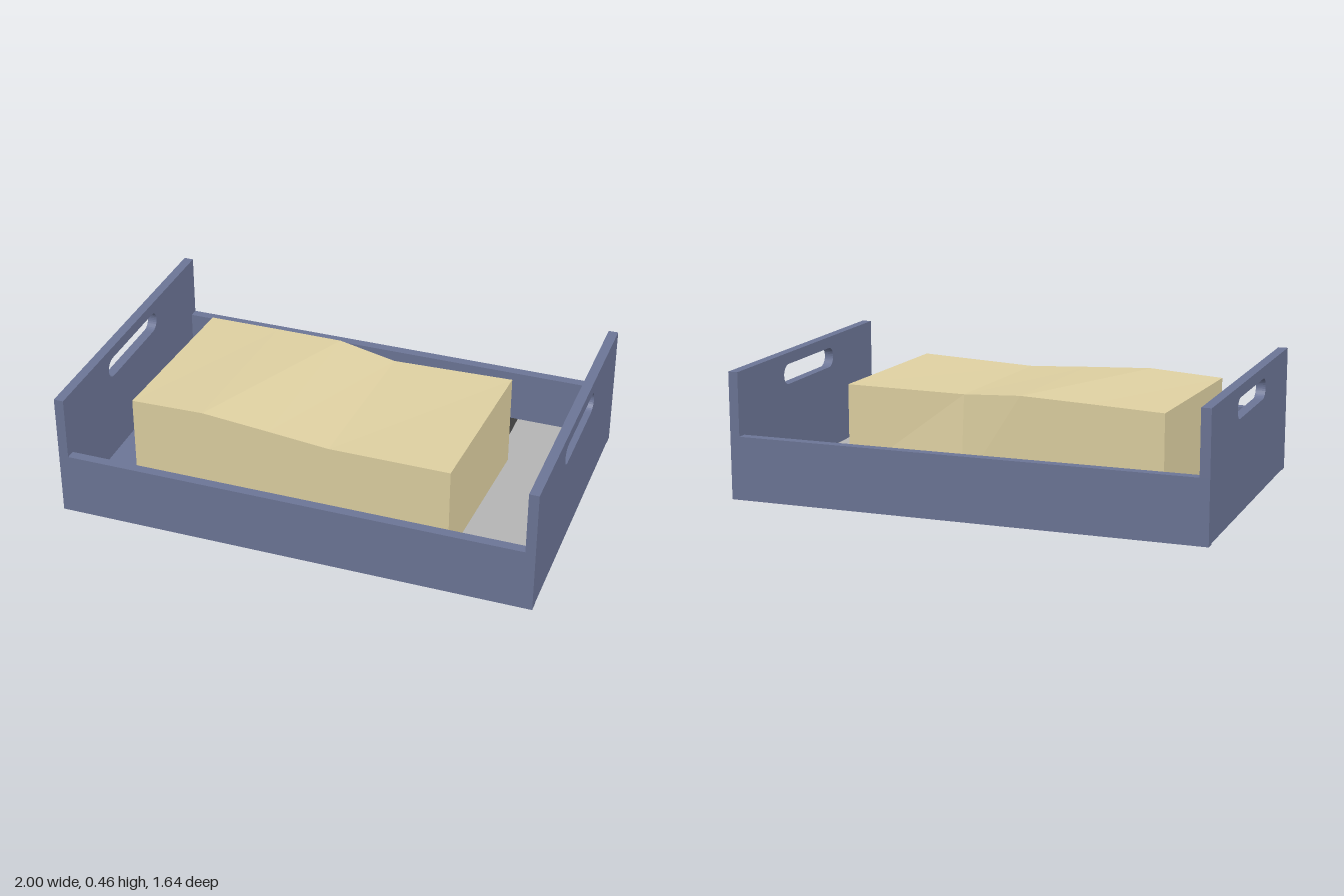
import * as THREE from 'three';

const L = 1.72, W = 1.11, T = 0.035; // tray length, width, board thickness
const RIM = 0.228, TOP = 0.457; // heights of the long sides and of the ends

const material = (color) => new THREE.MeshStandardMaterial({ color, flatShading: true });

function add(parent, name, geometry, mat, x = 0, y = 0, z = 0) {
  const mesh = new THREE.Mesh(geometry, mat);
  mesh.name = name;
  mesh.position.set(x, y, z);
  parent.add(mesh);
  return mesh;
}

// T-shaped end board: narrow between the sides, full width above them, with a grip slot
function endGeometry() {
  const a = W / 2 - T, b = W / 2;
  const shape = new THREE.Shape([
    [-a, 0.004], [a, 0.004], [a, RIM], [b, RIM], [b, TOP], [-b, TOP], [-b, RIM], [-a, RIM],
  ].map(([x, y]) => new THREE.Vector2(x, y)));
  const r = 0.037, half = 0.205 - r, y = 0.378;
  const slot = new THREE.Path();
  slot.absarc(half, y, r, -Math.PI / 2, Math.PI / 2, false);
  slot.absarc(-half, y, r, Math.PI / 2, Math.PI * 1.5, false);
  slot.closePath();
  shape.holes.push(slot);
  return new THREE.ExtrudeGeometry(shape, { depth: T, bevelEnabled: false, curveSegments: 8 })
    .rotateY(Math.PI / 2);
}

// Block with an uneven top: the top edge heights vary along its length
function blockGeometry() {
  const length = 1.19, width = 0.645, bottom = 0.03;
  const stations = [0, 0.23, 0.44, 0.63, 1];
  const front = [0.37, 0.385, 0.371, 0.357, 0.372];
  const back = [0.37, 0.379, 0.386, 0.367, 0.373];
  const geometry = new THREE.BoxGeometry(length, 1, width, 4, 1, 1);
  const p = geometry.attributes.position;
  for (let i = 0; i < p.count; i++) {
    const k = Math.round((p.getX(i) / length + 0.5) * 4);
    const isBack = p.getZ(i) < 0, isTop = p.getY(i) > 0;
    p.setX(i, (stations[k] - 0.5) * length);
    p.setY(i, isTop ? (isBack ? back : front)[k] : bottom);
    // the back top edge leans inward at one station
    if (isTop && isBack && k === 3) p.setZ(i, p.getZ(i) + 0.03);
  }
  geometry.computeVertexNormals();
  return geometry;
}

export function createModel() {
  const model = new THREE.Group();
  model.name = 'tray';
  const blue = material(0x6c7596), dark = material(0x3c3c3c);
  const grey = material(0xb4b4b4), tan = material(0xdfd1a2);

  // Tray, turned on the ground
  const tray = new THREE.Group();
  tray.name = 'trayBody';
  tray.rotation.y = 0.357;
  model.add(tray);

  // Long sides
  for (const s of [-1, 1]) {
    add(tray, s > 0 ? 'frontSide' : 'backSide', new THREE.BoxGeometry(L, RIM, T), blue,
      0, RIM / 2, s * (W - T) / 2);
  }

  // Ends with grip slots
  const end = endGeometry();
  add(tray, 'rightEnd', end, blue, -L / 2);
  add(tray, 'leftEnd', end, blue, L / 2 - T);

  // Floor slats, with two narrow gaps
  const slats = [
    [-0.825, -0.503, blue], [-0.494, -0.162, dark], [-0.162, 0.172, blue],
    [0.181, 0.513, dark], [0.513, 0.825, grey],
  ];
  slats.forEach(([from, to, mat], i) => {
    add(tray, `floorSlat${i + 1}`, new THREE.BoxGeometry(to - from, 0.025, W - 2 * T), mat,
      (from + to) / 2, 0.0175, 0);
  });

  // Block lying in the tray
  const block = add(model, 'block', blockGeometry(), tan, -0.035, 0, 0.07);
  block.rotation.y = 0.307;

  return model;
}
